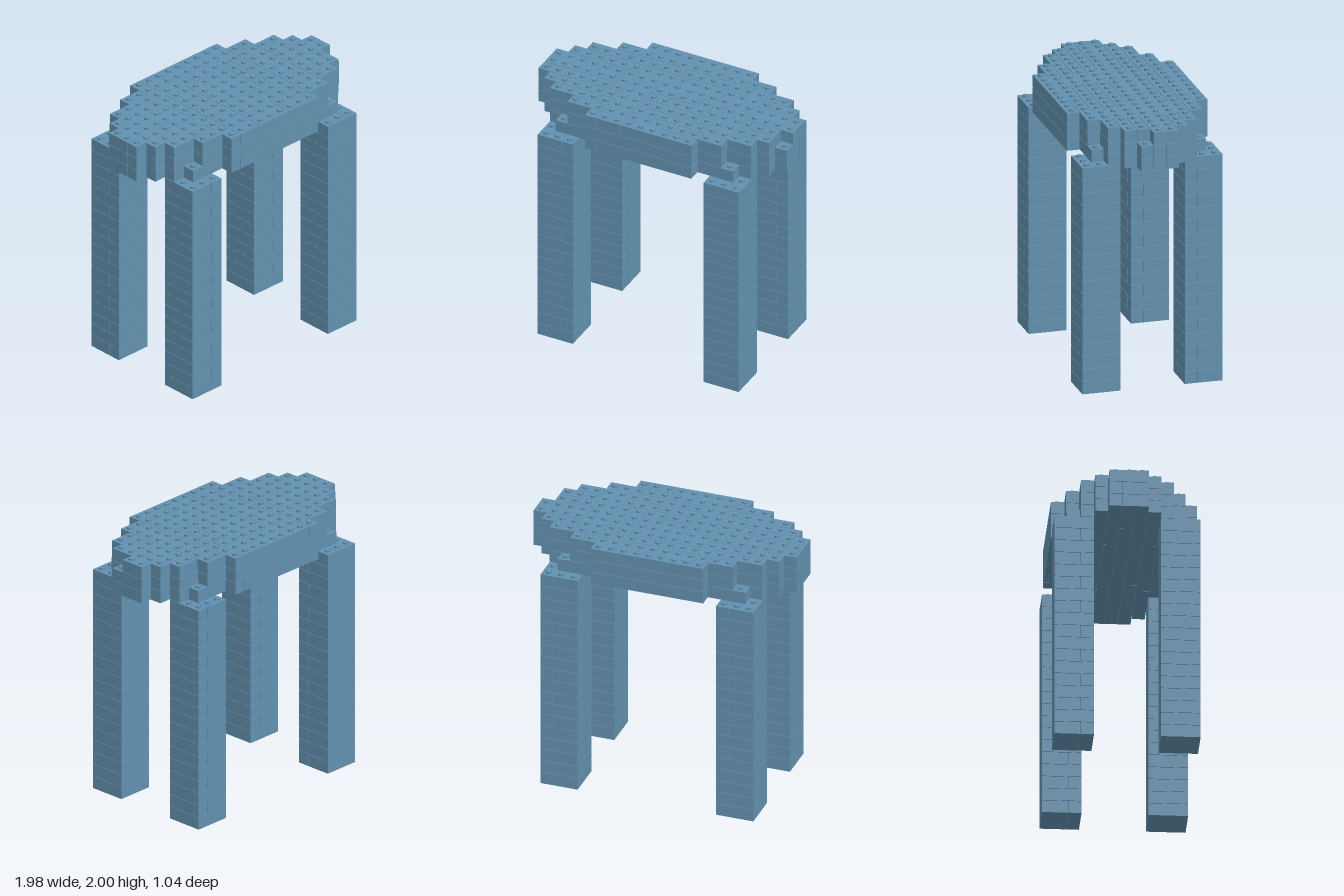
import * as THREE from 'three';
import { mergeGeometries } from 'three/addons/utils/BufferGeometryUtils.js';

const P = 0.0946;        // size of one grid cell, also the height of one layer
const GAP = 0.003;       // seam between neighbouring bricks
const STUD_R = 0.0215, STUD_H = 0.0134;
const LEG_LAYERS = 18;

// Grid of 21 x 11 cells: column edges run 0..21 along x, row edges 0..11 along z
const gx = (c) => (c - 10.5) * P;
const gz = (r) => (r - 5.5) * P;

// First and last column edge of every row, for the three tabletop layers
const upperRows = [[6, 15], [4, 17], [2, 19], [1, 20], [0, 21], [0, 21], [0, 20], [1, 20], [2, 19], [4, 17], [6, 15]];
const middleRows = upperRows.map((s, r) => (r === 6 ? [0, 21] : s));
const lowerRows = middleRows.map((s, r) => (r === 1 || r === 9 ? [3, 18] : s));

// Bricks of the top layer, as [column from, column to, row from, row to]
const topBricks = [
  [7, 15, 0, 2], [6, 7, 0, 2], [4, 6, 1, 2], [15, 16, 1, 2], [16, 17, 1, 2],
  [2, 10, 2, 3], [10, 14, 2, 3], [14, 15, 2, 3], [15, 17, 2, 10], [17, 19, 2, 3],
  [1, 7, 3, 4], [7, 9, 3, 11], [9, 13, 3, 6], [13, 14, 3, 7], [14, 15, 3, 7],
  [17, 20, 3, 4], [0, 6, 4, 6], [6, 7, 4, 7], [17, 21, 4, 6],
  [0, 6, 6, 7], [9, 13, 6, 7], [17, 20, 6, 7],
  [1, 7, 7, 8], [9, 15, 7, 8], [17, 20, 7, 8],
  [2, 6, 8, 9], [6, 7, 8, 9], [9, 15, 8, 9], [17, 19, 8, 9],
  [4, 7, 9, 10], [9, 12, 9, 11], [12, 15, 9, 10], [6, 7, 10, 11], [12, 15, 10, 11],
];

function brick([c0, c1, r0, r1], layer) {
  const g = new THREE.BoxGeometry((c1 - c0) * P - GAP, P - GAP, (r1 - r0) * P - GAP);
  return g.translate(gx((c0 + c1) / 2), (layer + 0.5) * P, gz((r0 + r1) / 2));
}

function stud(col, row, layer) {
  const g = new THREE.CylinderGeometry(STUD_R, STUD_R, STUD_H + GAP, 16);
  return g.translate(gx(col + 0.5), layer * P + (STUD_H - GAP) / 2, gz(row + 0.5));
}

// Cut each row of a layer into bricks, with staggered seams
function rowBricks(rows, cuts) {
  return rows.flatMap(([a, b], r) => {
    const edges = [a, ...cuts[r % cuts.length].filter((c) => c > a && c < b), b];
    return edges.slice(1).map((e, i) => [edges[i], e, r, r + 1]);
  });
}

// Studs on every cell of a layer that the layer above leaves open
function openStuds(rows, above, layer) {
  const out = [];
  rows.forEach(([a, b], r) => {
    for (let c = a; c < b; c++) {
      if (!above || c < above[r][0] || c >= above[r][1]) out.push(stud(c, r, layer));
    }
  });
  return out;
}

export function createModel() {
  const model = new THREE.Group();
  model.name = 'brickTable';
  const blue = new THREE.MeshStandardMaterial({ color: 0x6391af });
  blue.name = 'greyBlue';

  const add = (name, parts) => {
    const mesh = new THREE.Mesh(mergeGeometries(parts), blue);
    mesh.name = name;
    model.add(mesh);
  };

  // Legs: three cells square, with split bricks in alternate layers
  for (const [side, c] of [['right', 2], ['left', 16]]) {
    for (const [end, r] of [['Back', 0], ['Front', 8]]) {
      const parts = [];
      for (let k = 0; k < LEG_LAYERS; k++) {
        if (k % 2) parts.push(brick([c, c + 2, r, r + 3], k), brick([c + 2, c + 3, r, r + 3], k));
        else if (r === 0) parts.push(brick([c, c + 3, 0, 2], k), brick([c, c + 3, 2, 3], k));
        else parts.push(brick([c, c + 3, r, r + 3], k));
      }
      add(`${side}${end}Leg`, parts);

      // Studs on the leg's exposed corner
      const studs = [];
      for (let i = c; i < c + 3; i++) {
        for (let j = r; j < r + 3; j++) {
          if (i < lowerRows[j][0] || i >= lowerRows[j][1]) studs.push(stud(i, j, LEG_LAYERS));
        }
      }
      add(`${side}${end}LegStuds`, studs);
    }
  }

  // Tabletop: three stepped layers of bricks
  const L = LEG_LAYERS;
  add('tabletopLowerLayer', rowBricks(lowerRows, [[14], [7, 15], [4, 12]]).map((b) => brick(b, L)));
  add('tabletopMiddleLayer', rowBricks(middleRows, [[], [6, 16], [10]]).map((b) => brick(b, L + 1)));
  add('tabletopUpperLayer', topBricks.map((b) => brick(b, L + 2)));

  // Studs on the steps and over the whole top
  add('stepStuds', [...openStuds(lowerRows, middleRows, L + 1), ...openStuds(middleRows, upperRows, L + 2)]);
  add('topStuds', openStuds(upperRows, null, L + 3));

  return model;
}
